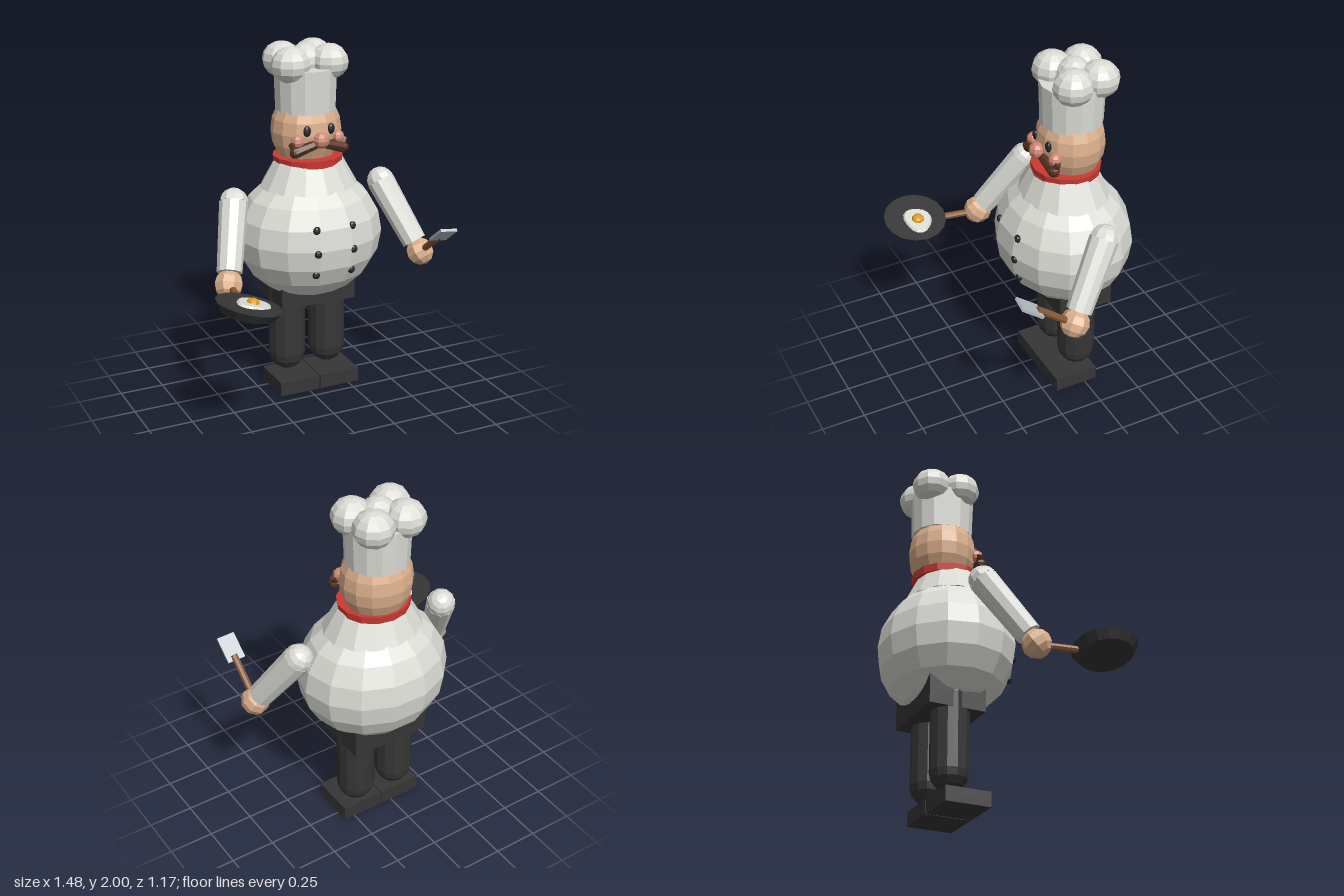
import * as THREE from 'three';

const mat = (name, color) => {
  const m = new THREE.MeshStandardMaterial({ color, flatShading: true });
  m.name = name;
  return m;
};

export function createModel() {
  const white = mat('jacket white', 0xdcdcd6);
  const skin = mat('skin', 0xdcb08c);
  const rose = mat('nose rose', 0xd08a76);
  const red = mat('scarf red', 0xcc3a32);
  const charcoal = mat('charcoal', 0x363636);
  const black = mat('black', 0x26262a);
  const hair = mat('moustache brown', 0x55301f);
  const wood = mat('wood', 0x8a5a34);
  const steel = mat('steel', 0xb9bfc5);
  const yolkMat = mat('yolk', 0xdc9c1c);

  const root = new THREE.Group();
  root.name = 'chef';
  const CX = 0.066; // the figure's own middle line
  const V = (x, y, z) => new THREE.Vector3(x, y, z);
  const UP = V(0, 1, 0);

  const add = (name, geo, material, x, y, z, parent = root) => {
    const m = new THREE.Mesh(geo, material);
    m.name = name;
    m.position.set(x, y, z);
    parent.add(m);
    return m;
  };
  const ball = (name, material, x, y, z, rx, ry = rx, rz = rx, ws = 10, hs = 8, parent = root) =>
    add(name, new THREE.SphereGeometry(1, ws, hs).scale(rx, ry, rz), material, x, y, z, parent);
  // straight rod between two points, r0 at a and r1 at b
  const rod = (name, material, a, b, r0, r1 = r0, sides = 8) => {
    const p = a.clone().add(b).multiplyScalar(0.5);
    const m = add(name, new THREE.CylinderGeometry(r1, r0, a.distanceTo(b), sides), material, p.x, p.y, p.z);
    m.quaternion.setFromUnitVectors(UP, b.clone().sub(a).normalize());
    return m;
  };

  // torso
  ball('belly', white, CX, 0.93, -0.22, 0.423, 0.374, 0.374, 14, 10);
  add('shoulders', new THREE.CylinderGeometry(0.19, 0.28, 0.16, 14).scale(1, 1, 0.87), white, CX, 1.29, -0.22);
  for (const s of [-1, 1]) {
    for (const y of [1.05, 0.92, 0.79]) {
      const dx = 0.107 * s;
      const z = -0.22 + 0.366 * Math.sqrt(1 - (dx / 0.423) ** 2 - ((y - 0.93) / 0.374) ** 2);
      ball('button', black, CX + dx, y, z, 0.023, 0.023, 0.018, 8, 6);
    }
  }

  // trousers and shoes
  add('hips', new THREE.BoxGeometry(0.457, 0.2, 0.322), charcoal, CX + 0.002, 0.625, -0.249);
  for (const s of [-1, 1]) {
    add('leg', new THREE.CapsuleGeometry(0.106, 0.42, 4, 12), charcoal, CX + 0.127 * s, 0.405, -0.25);
    add('shoe', new THREE.BoxGeometry(0.245, 0.083, 0.257), charcoal, CX + 0.125 * s, 0.0415, -0.194);
  }

  // neck scarf with a pointed front fold
  add('scarf', new THREE.CylinderGeometry(0.2, 0.196, 0.042, 14).scale(1, 1, 0.95), red, CX, 1.365, -0.23);
  const fold = new THREE.CylinderGeometry(0.194, 0.001, 0.055, 14).scale(1, 1, 0.95);
  const fp = fold.attributes.position;
  for (let i = 0; i < fp.count; i++) if (fp.getY(i) < 0) fp.setZ(i, fp.getZ(i) + 0.18);
  add('scarfFold', fold, red, CX, 1.325, -0.225);

  // head and face
  ball('head', skin, CX, 1.52, -0.254, 0.2, 0.23, 0.187, 14, 10);
  ball('nose', rose, CX, 1.502, -0.054, 0.047, 0.045, 0.045, 8, 6);
  for (const s of [-1, 1]) {
    ball('eye', black, CX + 0.072 * s, 1.553, -0.083, 0.023, 0.031, 0.016, 8, 6);
    ball('cheek', rose, CX + 0.122 * s, 1.497, -0.098, 0.038, 0.038, 0.038, 8, 6);
    rod('moustache', hair, V(CX, 1.485, -0.068), V(CX + 0.145 * s, 1.442, -0.08), 0.024, 0.033, 7);
    ball('moustacheEnd', hair, CX + 0.145 * s, 1.442, -0.08, 0.033, 0.031, 0.033, 7, 6);
    rod('moustacheCurl', hair, V(CX + 0.14 * s, 1.452, -0.085), V(CX + 0.163 * s, 1.492, -0.095), 0.022, 0.017, 7);
  }

  // hat
  add('hatBand', new THREE.CylinderGeometry(0.178, 0.17, 0.24, 14), white, CX, 1.755, -0.259);
  for (const s of [-1, 1]) {
    ball('hatPuff', white, CX + 0.115 * s, 1.9, -0.2, 0.11, 0.1, 0.11, 10, 8);
    ball('hatPuff', white, CX + 0.095 * s, 1.9, -0.365, 0.11, 0.1, 0.11, 10, 8);
  }
  ball('hatPuff', white, CX, 1.898, -0.265, 0.1, 0.102, 0.1, 10, 8);

  // arms and hands
  for (const s of [-1, 1]) {
    const shoulder = V(CX + 0.456 * s, 1.165, -0.215);
    const hand = V(CX + 0.591 * s, 0.79, 0.025);
    const cuff = shoulder.clone().lerp(hand, 0.86);
    const sleeve = rod('sleeve', white, cuff, shoulder, 0.07, 0.08, 10);
    const cap = new THREE.SphereGeometry(0.08, 10, 4, 0, Math.PI * 2, 0, Math.PI / 2);
    add('shoulderCap', cap, white, shoulder.x, shoulder.y, shoulder.z).quaternion.copy(sleeve.quaternion);
    ball('hand', skin, hand.x, hand.y, hand.z, 0.081, 0.081, 0.081, 8, 6).quaternion.copy(sleeve.quaternion);
  }

  // frying pan with an egg
  rod('panHandle', wood, V(-0.525, 0.785, 0.05), V(-0.55, 0.79, 0.25), 0.02);
  const pan = new THREE.Group();
  pan.name = 'fryingPan';
  pan.position.set(-0.566, 0.825, 0.405);
  pan.rotation.z = -0.245;
  root.add(pan);
  add('panDish', new THREE.CylinderGeometry(0.18, 0.145, 0.05, 16), charcoal, 0, -0.025, 0, pan);
  const egg = new THREE.CylinderGeometry(0.08, 0.09, 0.012, 18);
  const ep = egg.attributes.position;
  for (let i = 0; i < ep.count; i++) {
    const a = Math.atan2(ep.getZ(i), ep.getX(i));
    const k = 1 + 0.07 * Math.sin(3 * a + 0.6);
    ep.setXYZ(i, ep.getX(i) * k * 1.05, ep.getY(i), ep.getZ(i) * k * 0.88);
  }
  add('eggWhite', egg, white, 0.025, 0.006, -0.007, pan);
  ball('yolk', yolkMat, 0.025, 0.012, -0.007, 0.036, 0.024, 0.036, 8, 6, pan);

  // spatula
  rod('spatulaHandle', wood, V(0.657, 0.785, 0.025), V(0.655, 0.955, 0.245), 0.02);
  const blade = add('spatulaBlade', new THREE.BoxGeometry(0.1, 0.15, 0.016), steel, 0.65, 0.977, 0.287);
  blade.quaternion.setFromUnitVectors(UP, V(0, 0.61, 0.79).normalize());
  blade.rotateY(-0.12);

  return root;
}
